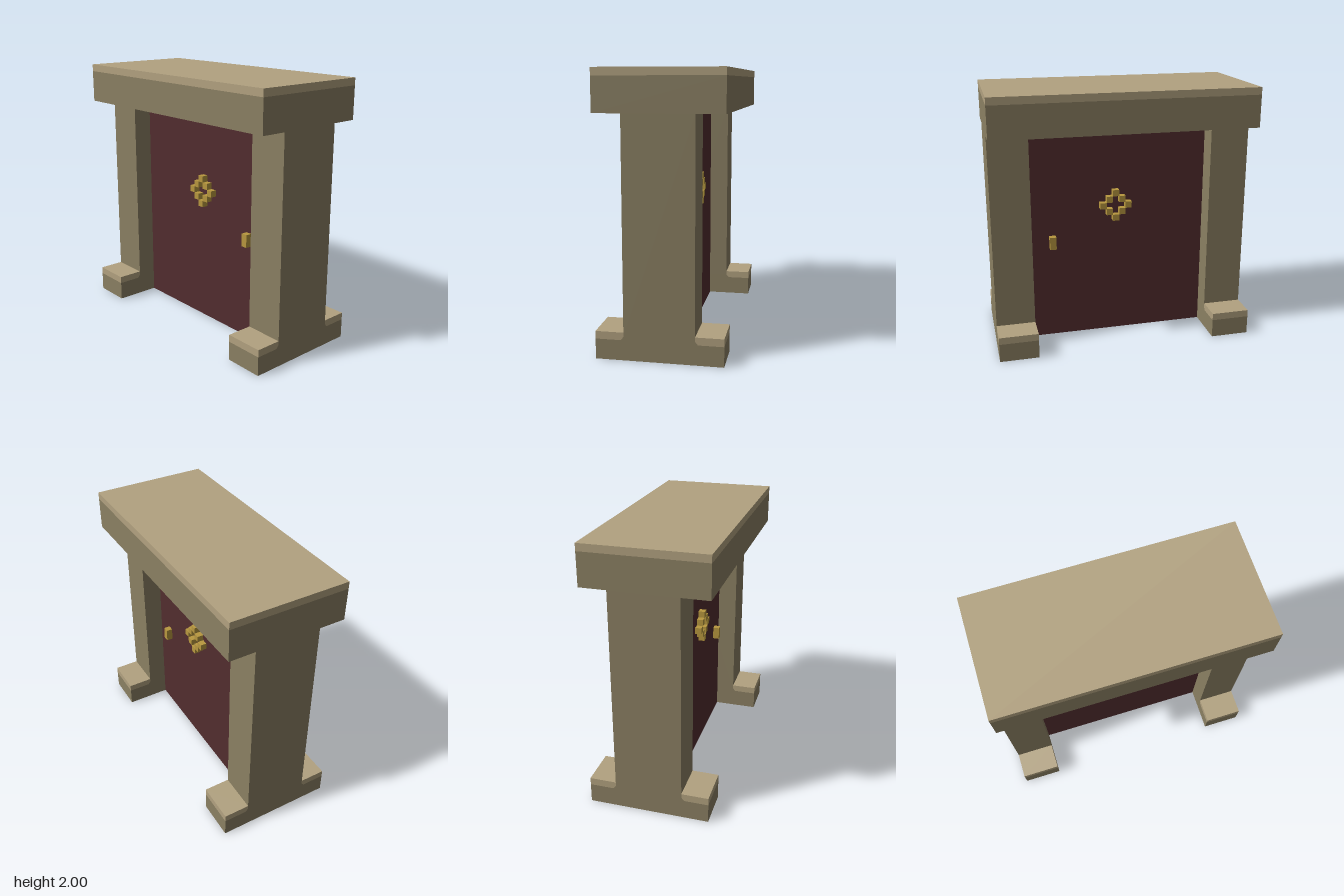
import * as THREE from 'three';

const mat = (name, color) => new THREE.MeshStandardMaterial({ name, color });

export function createModel() {
  const stone = mat('stone', 0x8b8063);
  const paleStone = mat('paleStone', 0xb2a280);
  const wood = mat('redWood', 0x522d2f);
  const brass = mat('brass', 0xb8983f);

  const model = new THREE.Group();
  model.name = 'doorway';

  const add = (parent, name, geometry, material) => {
    const mesh = new THREE.Mesh(geometry, material);
    mesh.name = name;
    parent.add(mesh);
    return mesh;
  };
  const box = (parent, name, material, [x0, x1], [y0, y1], [z0, z1]) =>
    add(parent, name, new THREE.BoxGeometry(x1 - x0, y1 - y0, z1 - z0), material)
      .position.set((x0 + x1) / 2, (y0 + y1) / 2, (z0 + z1) / 2);

  // Extrudes a [z, y] profile sideways, centred on x = 0
  const sideProfile = (points, width) => {
    const shape = new THREE.Shape(points.map(([z, y]) => new THREE.Vector2(z, y)));
    return new THREE.ExtrudeGeometry(shape, { depth: width, bevelEnabled: false })
      .rotateY(-Math.PI / 2)
      .translate(width / 2, 0, 0);
  };

  // Posts with feet front and back, each foot capped in pale stone
  const half = [[0.45, 0], [0.45, 0.145], [0.27, 0.145], [0.25, 0.17], [0.25, 1.7]];
  const cap = [[0.27, 0.145], [0.45, 0.145], [0.45, 0.2], [0.25, 0.2], [0.25, 0.17]];
  const flip = (points) => points.map(([z, y]) => [-z, y]).reverse();
  for (const [side, sign] of [['left', 1], ['right', -1]]) {
    const post = new THREE.Group();
    post.name = side + 'Post';
    post.position.x = sign * 0.85;
    add(post, 'pillar', sideProfile([...half, ...flip(half)], 0.3), stone);
    add(post, 'frontFootCap', sideProfile(cap, 0.3), paleStone);
    add(post, 'backFootCap', sideProfile(flip(cap), 0.3), paleStone);
    model.add(post);
  }

  // Lintel with its pale top course
  box(model, 'lintel', stone, [-1, 1], [1.7, 1.945], [-0.45, 0.45]);
  box(model, 'lintelCap', paleStone, [-1, 1], [1.945, 2], [-0.45, 0.45]);

  // Door panel
  box(model, 'door', wood, [-0.7, 0.7], [0, 1.7], [-0.1, 0.1]);

  // Handle and diamond of studs on both faces
  const u = 0.05;
  for (const [face, depth] of [['front', [0.1, 0.15]], ['back', [-0.15, -0.1]]]) {
    const fittings = new THREE.Group();
    fittings.name = face + 'Fittings';
    box(fittings, 'handle', brass, [0.5, 0.55], [0.75, 0.85], depth);
    for (let i = -2; i <= 2; i++) {
      const rise = 2 - Math.abs(i);
      for (const j of new Set([rise, -rise])) {
        const x = i * u, y = 1.05 + j * u;
        box(fittings, 'stud', brass, [x, x + u], [y, y + u], depth);
      }
    }
    model.add(fittings);
  }

  return model;
}
